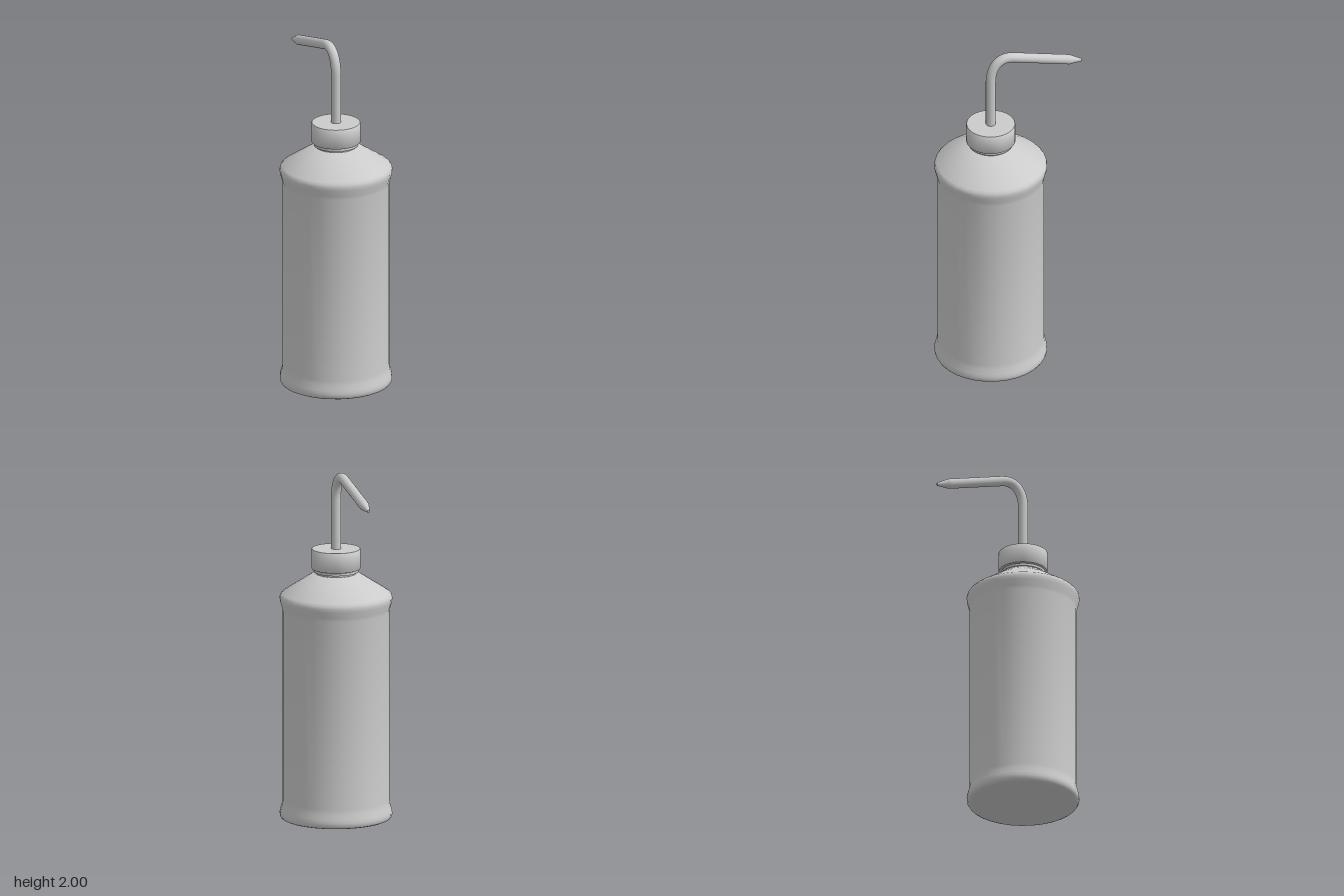
import * as THREE from 'three';
import { toCreasedNormals } from 'three/addons/utils/BufferGeometryUtils.js';

const AXIS_Z = 0.105; // the bottle sits forward of the centre, the spout reaches back
const TUBE_R = 0.028;

export function createModel() {
  const group = new THREE.Group();
  const material = new THREE.MeshStandardMaterial({ color: 0xcccccc });

  function add(name, geometry) {
    const mesh = new THREE.Mesh(geometry, material);
    mesh.name = name;
    group.add(mesh);
    return mesh;
  }

  function addLathe(name, profile, sides) {
    const points = profile.map(([r, y]) => new THREE.Vector2(r, y));
    const geometry = toCreasedNormals(new THREE.LatheGeometry(points, sides), 0.7);
    add(name, geometry).position.z = AXIS_Z;
  }

  // Bottle with flared foot, flared shoulder and conical top
  addLathe('bottle', [
    [0, 0], [0.295, 0], [0.308, 0.006], [0.315, 0.018], [0.316, 0.035], [0.312, 0.055],
    [0.303, 0.085], [0.3, 0.11], [0.3, 1.19], [0.304, 1.21], [0.314, 1.245],
    [0.317, 1.265], [0.314, 1.28], [0.303, 1.293], [0.13, 1.405], [0, 1.405],
  ], 32);

  // Neck with a raised ring under the cap
  addLathe('neck', [
    [0.115, 1.4], [0.115, 1.412], [0.125, 1.414], [0.125, 1.428], [0.115, 1.43], [0.115, 1.44],
  ], 48);

  // Screw cap
  addLathe('cap', [
    [0, 1.432], [0.136, 1.432], [0.138, 1.435], [0.138, 1.542], [0.135, 1.546], [0, 1.546],
  ], 48);

  // Spout: straight riser, bend, then a gently falling arm
  const v = (y, z) => new THREE.Vector3(0, y, z);
  const bendStart = v(1.83, AXIS_Z);
  const bendEnd = v(1.967, -0.03);
  const armEnd = v(1.888, -0.355);
  const tipEnd = v(1.871, -0.425);
  const path = new THREE.CurvePath();
  path.add(new THREE.LineCurve3(v(1.53, AXIS_Z), bendStart));
  path.add(new THREE.CubicBezierCurve3(bendStart, v(1.925, AXIS_Z), v(1.989, 0.055), bendEnd));
  path.add(new THREE.LineCurve3(bendEnd, armEnd));
  add('spout', new THREE.TubeGeometry(path, 60, TUBE_R, 20));

  // Tapered nozzle continuing the arm
  const axis = tipEnd.clone().sub(armEnd);
  const nozzle = add('nozzle', new THREE.CylinderGeometry(0.008, TUBE_R, axis.length(), 20));
  nozzle.position.copy(armEnd).add(tipEnd).multiplyScalar(0.5);
  nozzle.quaternion.setFromUnitVectors(new THREE.Vector3(0, 1, 0), axis.normalize());

  return group;
}
